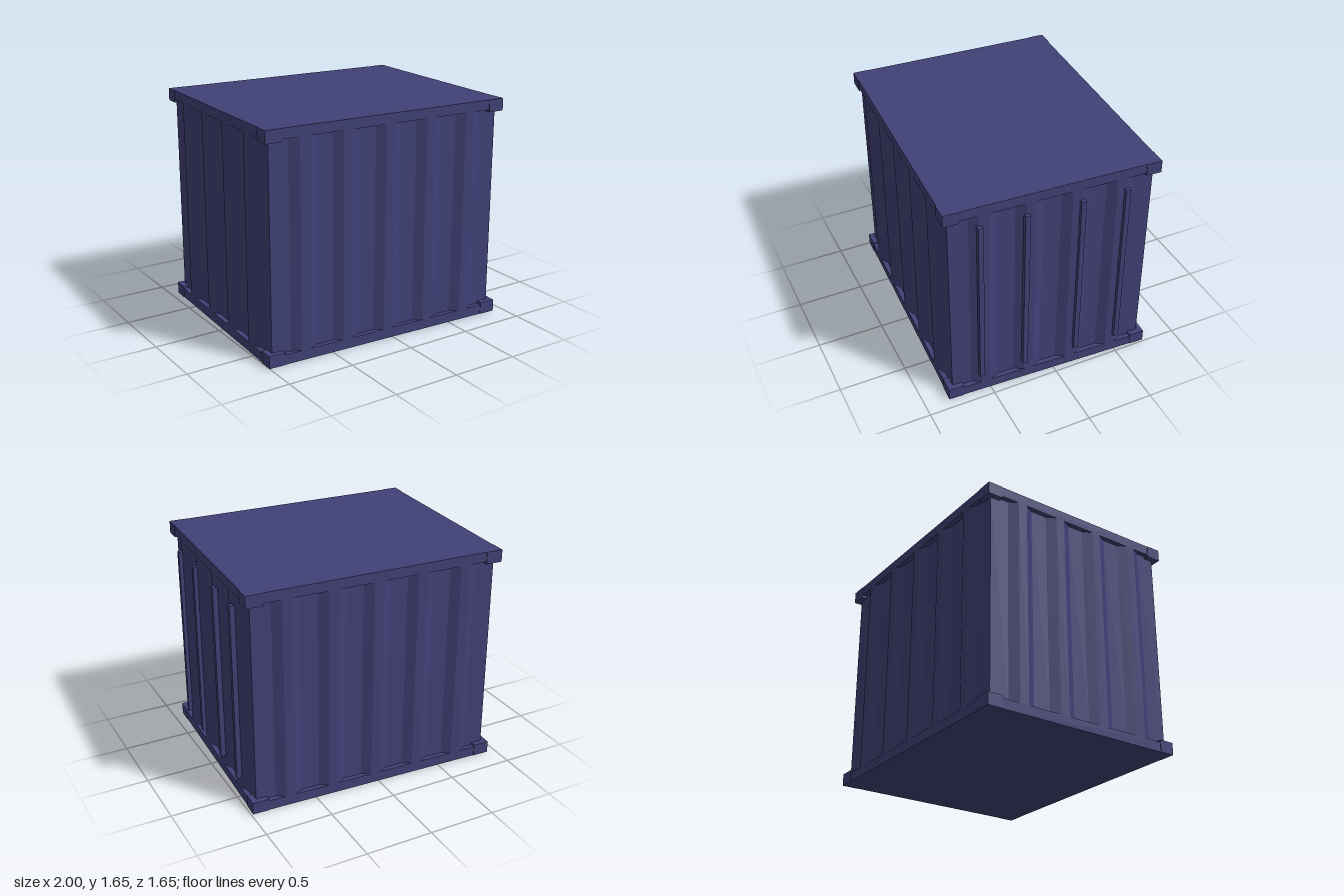
import * as THREE from 'three';

const HEIGHT = 1.655, HALF_X = 0.958, HALF_Z = 0.78;
const RAIL = 0.073, DEPTH = 0.037; // rail height, corrugation depth

export function createModel() {
  const model = new THREE.Group();
  const container = new THREE.Group();
  container.name = 'container';
  container.position.set(-0.0075, 0, -0.0025);
  container.rotation.y = -0.0416;
  model.add(container);

  const paint = new THREE.MeshStandardMaterial({ color: 0x404076, flatShading: true });

  function add(name, geometry, x = 0, y = 0, z = 0) {
    const mesh = new THREE.Mesh(geometry, paint);
    mesh.name = name;
    mesh.position.set(x, y, z);
    container.add(mesh);
    return mesh;
  }
  const box = (name, w, h, d, x, y, z) => add(name, new THREE.BoxGeometry(w, h, d), x, y, z);

  // Corrugated walls: one closed outline with outward ribs, extruded upwards
  const sides = [
    { length: HALF_X, out: HALF_Z, ribs: 5, pitch: 0.336 },
    { length: HALF_Z, out: HALF_X, ribs: 4, pitch: 0.331 },
  ];
  const outline = [];
  for (let s = 0; s < 4; s++) {
    const { length, out, ribs, pitch } = sides[s % 2];
    const turn = (s * Math.PI) / 2;
    const put = (u, v) =>
      outline.push(new THREE.Vector2(u, -v).rotateAround(new THREE.Vector2(), turn));
    put(-(length - DEPTH), out - DEPTH);
    for (let i = 0; i < ribs; i++) {
      const c = (i - (ribs - 1) / 2) * pitch;
      put(c - 0.102, out - DEPTH);
      put(c - 0.035, out);
      put(c + 0.035, out);
      put(c + 0.102, out - DEPTH);
    }
  }
  const walls = new THREE.ExtrudeGeometry(new THREE.Shape(outline), {
    depth: HEIGHT - 2 * RAIL, bevelEnabled: false,
  });
  walls.rotateX(-Math.PI / 2);
  add('corrugatedWalls', walls, 0, RAIL, 0);

  // Floor and roof slabs with their edge rails
  box('floor', 2 * HALF_X, RAIL, 2 * HALF_Z, 0, RAIL / 2, 0);
  box('roof', 2 * HALF_X, RAIL, 2 * HALF_Z, 0, HEIGHT - RAIL / 2, 0);

  // Eight corner blocks, standing slightly proud of the rails
  const bw = 0.123, bh = 0.09, bd = 0.113, proud = 0.004;
  for (const sx of [-1, 1]) for (const sz of [-1, 1]) for (const top of [false, true]) {
    box('cornerBlock', bw, bh, bd,
      sx * (HALF_X + proud - bw / 2),
      top ? HEIGHT - bh / 2 : bh / 2,
      sz * (HALF_Z + proud - bd / 2));
  }

  // Four vertical locking bars on the door side
  for (const z of [-0.532, -0.202, 0.202, 0.534]) {
    box('lockingBar', 0.036, 1.34, 0.037, 0.968, 0.83, z);
  }

  return model;
}
